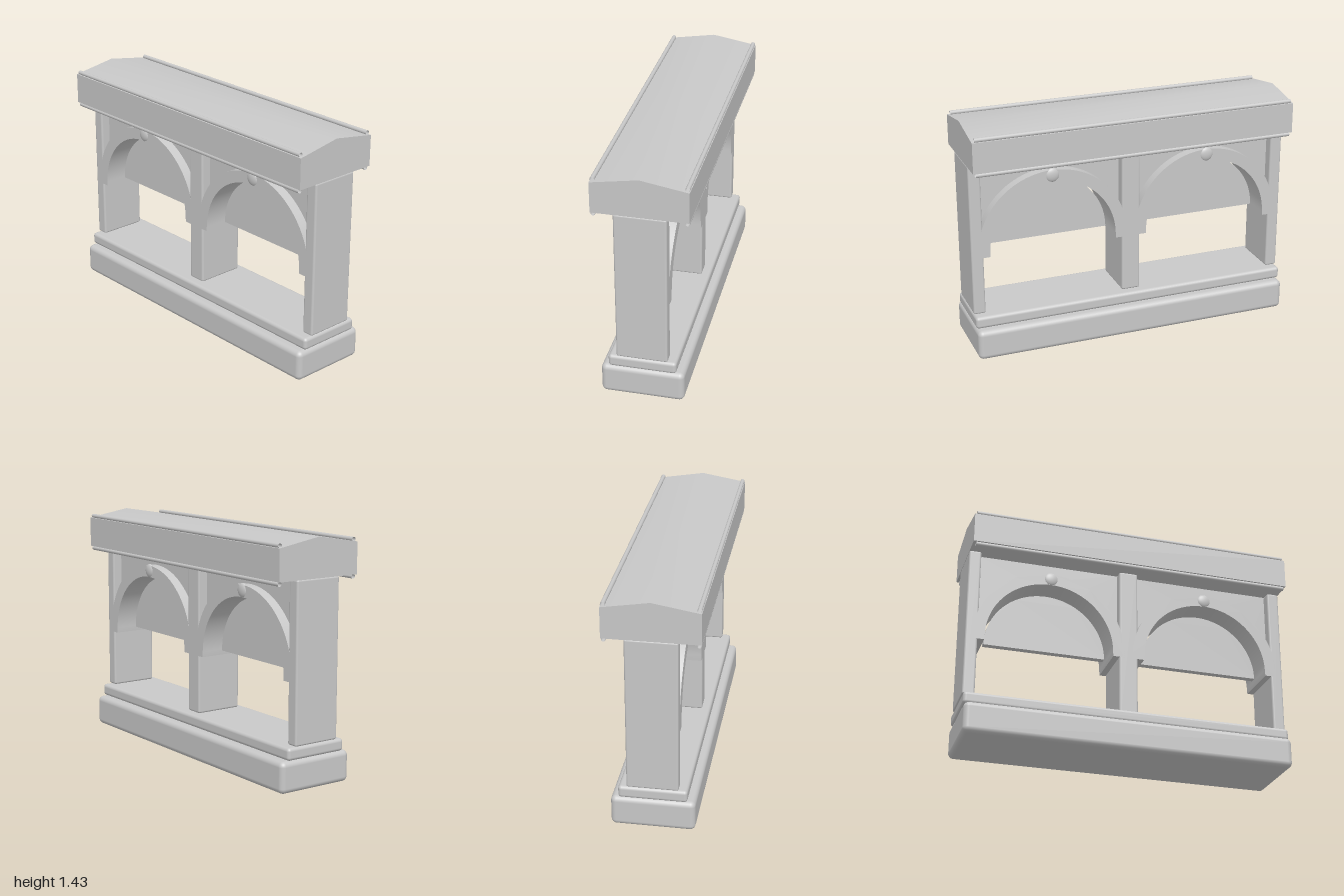
import * as THREE from 'three';
import { toCreasedNormals } from 'three/addons/utils/BufferGeometryUtils.js';
import { RoundedBoxGeometry } from 'three/addons/geometries/RoundedBoxGeometry.js';

const stone = new THREE.MeshStandardMaterial({ color: 0xc8c8c8 });
stone.name = 'lightStone';
const openStone = stone.clone();
openStone.side = THREE.DoubleSide;

function add(parent, name, geometry, x = 0, y = 0, z = 0, material = stone) {
  const mesh = new THREE.Mesh(geometry, material);
  mesh.name = name;
  mesh.position.set(x, y, z);
  parent.add(mesh);
  return mesh;
}

// Rounded block given by its bottom and top heights
function block(parent, name, x, width, y0, y1, depth, radius) {
  add(parent, name, new RoundedBoxGeometry(width, y1 - y0, depth, 4, radius), x, (y0 + y1) / 2, 0);
}

// Shape extruded symmetrically about z = 0
function slab(shape, depth) {
  const g = new THREE.ExtrudeGeometry(shape, { depth, bevelEnabled: false, curveSegments: 48 });
  g.translate(0, 0, -depth / 2);
  return toCreasedNormals(g, 0.6);
}

function createBay(x) {
  const bay = new THREE.Group();
  bay.name = 'archBay';
  bay.position.x = x;
  const springY = 0.65, footY = 0.623;

  // Deep arch ring with short straight feet
  const ring = new THREE.Shape();
  ring.moveTo(0.465, footY);
  ring.lineTo(0.465, springY);
  ring.absarc(0, springY, 0.465, 0, Math.PI, false);
  ring.lineTo(-0.465, footY);
  ring.lineTo(-0.395, footY);
  ring.lineTo(-0.395, springY);
  ring.absarc(0, springY, 0.393, Math.PI, 0, true);
  ring.lineTo(0.395, footY);
  add(bay, 'archRing', slab(ring, 0.3));

  // Wall between the arch and the roof
  const wall = new THREE.Shape();
  wall.moveTo(0.45, springY);
  wall.lineTo(0.45, 1.21);
  wall.lineTo(-0.45, 1.21);
  wall.lineTo(-0.45, springY);
  wall.lineTo(-0.43, springY);
  wall.absarc(0, springY, 0.43, Math.PI, 0, true);
  add(bay, 'spandrelWall', slab(wall, 0.18));

  // Thin half-round panel, set clear of the arch
  const panel = new THREE.Shape();
  panel.absarc(0, 0.653, 0.374, 0, Math.PI, false);
  add(bay, 'halfRoundPanel', slab(panel, 0.04));

  // Domed bosses at the crown, front and back
  for (const s of [1, -1]) {
    add(bay, 'crownBoss', new THREE.SphereGeometry(0.043, 32, 20), 0, 1.082, s * 0.143).scale.z = 0.42;
  }
  return bay;
}

export function createModel() {
  const model = new THREE.Group();
  model.name = 'arcadeWall';

  // Stepped base
  block(model, 'base', 0, 2, 0, 0.187, 0.49, 0.032);
  block(model, 'plinth', 0, 2, 0.188, 0.262, 0.4, 0.02);

  // Pillars
  block(model, 'endPillar', -0.963, 0.074, 0.264, 1.203, 0.3, 0.012);
  block(model, 'middlePillar', 0, 0.116, 0.264, 1.203, 0.3, 0.012);
  block(model, 'endPillar', 0.963, 0.074, 0.264, 1.203, 0.3, 0.012);

  for (const x of [-0.492, 0.492]) model.add(createBay(x));

  // Low gabled coping with a softly shaded ridge
  const profile = new THREE.Shape([
    [-0.276, 1.2], [0.276, 1.2], [0.276, 1.385], [0, 1.431], [-0.276, 1.385],
  ].map(([a, b]) => new THREE.Vector2(a, b)));
  const coping = slab(profile, 2);
  coping.rotateY(Math.PI / 2);
  add(model, 'coping', coping);

  // Slim open tubes along the coping edges
  const tube = new THREE.CylinderGeometry(0.013, 0.013, 1.97, 16, 1, true);
  tube.rotateZ(Math.PI / 2);
  for (const s of [1, -1]) {
    add(model, 'upperTrim', tube, 0, 1.397, s * 0.262, openStone);
    add(model, 'lowerTrim', tube, 0, 1.187, s * 0.262, openStone);
  }
  return model;
}
